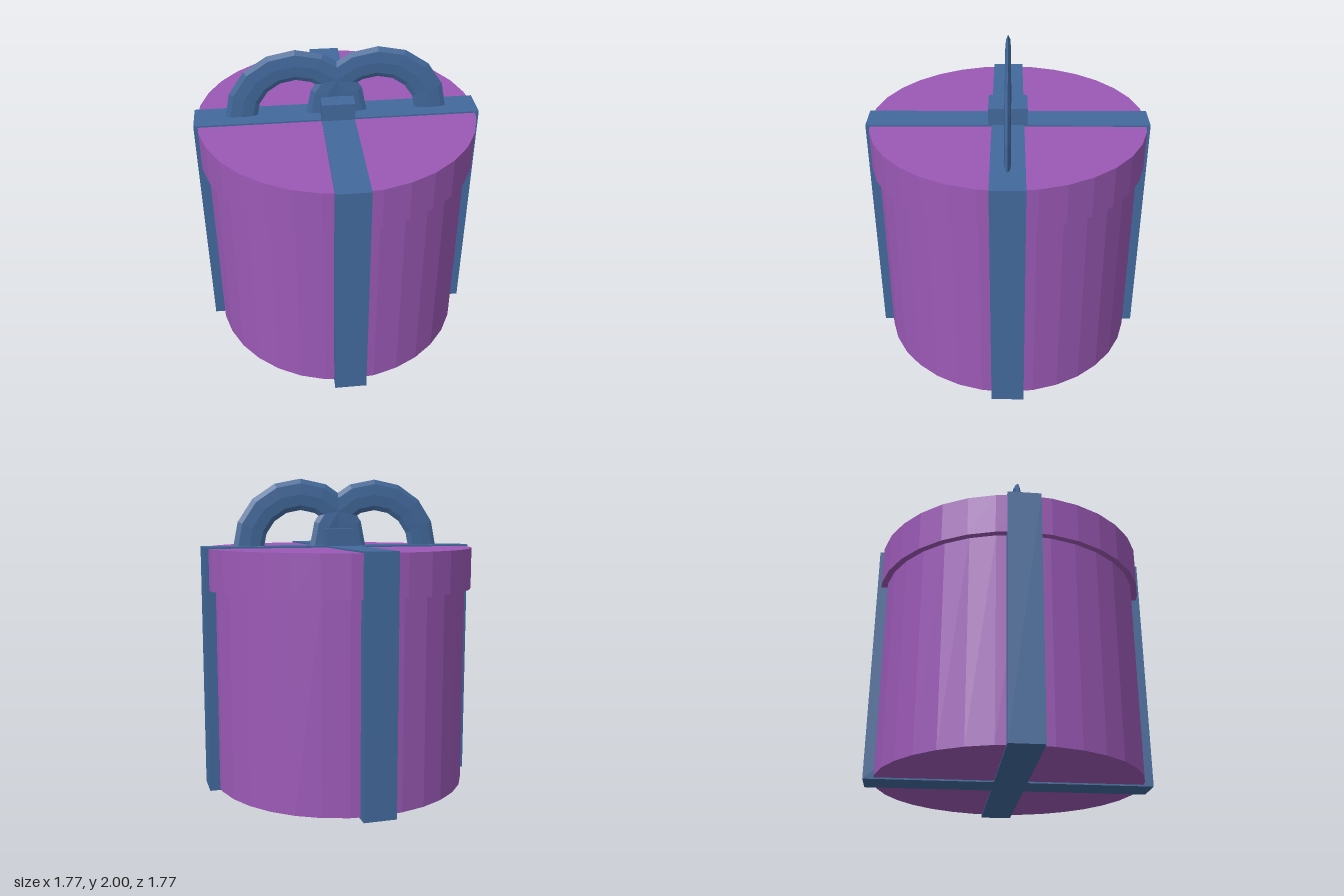
import * as THREE from 'three';

export function createModel() {
  const purple = new THREE.MeshStandardMaterial({ color: 0x9b59b6, flatShading: true });
  purple.name = 'purple card';
  const blue = new THREE.MeshStandardMaterial({ color: 0x42699c, flatShading: true });
  blue.name = 'blue ribbon';

  const gift = new THREE.Group();
  gift.name = 'giftBox';

  function add(name, geometry, material, x = 0, y = 0, z = 0) {
    const mesh = new THREE.Mesh(geometry, material);
    mesh.name = name;
    mesh.position.set(x, y, z);
    gift.add(mesh);
    return mesh;
  }

  // Round box and its overhanging lid
  add('boxBody', new THREE.CylinderGeometry(0.835, 0.835, 1.3, 32), purple, 0, 0.66, 0);
  add('lid', new THREE.CylinderGeometry(0.875, 0.875, 0.26, 32), purple, 0, 1.43, 0);

  // Two crossed bands running all the way around
  add('ribbonAcross', new THREE.BoxGeometry(1.78, 1.57, 0.205), blue, 0, 0.785, 0);
  add('ribbonFrontToBack', new THREE.BoxGeometry(0.205, 1.57, 1.78), blue, 0, 0.785, 0);

  // Knot block
  add('knot', new THREE.BoxGeometry(0.207, 0.13, 0.245), blue, 0, 1.615, 0);

  // Flattened half-ring bow loops that cross in the middle
  for (const side of [-1, 1]) {
    const loop = add(side < 0 ? 'bowLoopRight' : 'bowLoopLeft',
      new THREE.TorusGeometry(0.345, 0.1, 8, 8, Math.PI), blue, side * 0.252, 1.555, 0);
    loop.scale.z = 0.2;
  }

  gift.rotation.y = THREE.MathUtils.degToRad(15.4);
  const model = new THREE.Group();
  model.name = 'gift';
  model.add(gift);
  return model;
}
